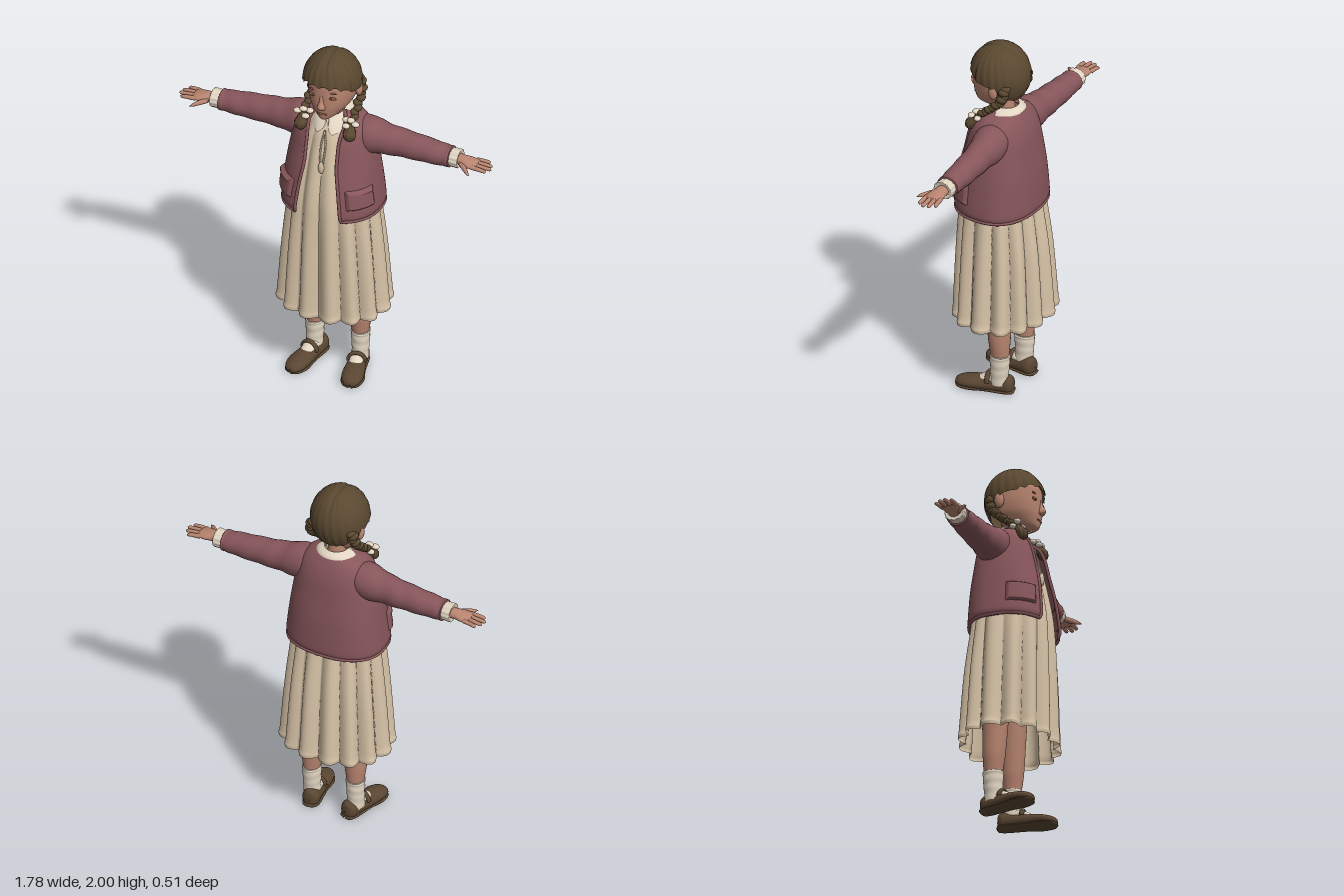
import * as THREE from 'three';
import { ParametricGeometry } from 'three/addons/geometries/ParametricGeometry.js';

const TAU = Math.PI * 2;
const mat = (name, color, side = THREE.FrontSide) => new THREE.MeshStandardMaterial({ name, color, side });

// smooth, overshoot-free interpolation through rows of numbers
function sample(rows, v) {
  const n = rows.length - 1, f = Math.min(Math.max(v, 0), 1) * n, i = Math.min(Math.floor(f), n - 1), s = f - i;
  const slope = (k, j) => rows[k + 1][j] - rows[k][j];
  const tangent = (k, j) => {
    if (k === 0) return slope(0, j);
    if (k === n) return slope(n - 1, j);
    const a = slope(k - 1, j), b = slope(k, j);
    return a * b > 0 ? 2 * a * b / (a + b) : 0;
  };
  return rows[0].map((_, j) => {
    const s2 = s * s, s3 = s2 * s;
    return (2 * s3 - 3 * s2 + 1) * rows[i][j] + (s3 - 2 * s2 + s) * tangent(i, j)
      + (3 * s2 - 2 * s3) * rows[i + 1][j] + (s3 - s2) * tangent(i + 1, j);
  });
}

const surface = (fn, nu, nv) => new ParametricGeometry((u, v, p) => p.set(...fn(u, v)), nu, nv);

// rings along an axis; rows are [x, y, z, first radius, second radius]
function loft(axis, rows, { nu = 24, nv = rows.length * 4, ripple = () => 0, floor = -1 } = {}) {
  return surface((u, v) => {
    const t = u * TAU, [x, y, z, a, b] = sample(rows, v), k = 1 + ripple(t, v);
    const s = Math.sin(t) * k, c = Math.cos(t) * k;
    if (axis === 'y') return [x + a * s, y, z + b * c];
    if (axis === 'x') return [x, y + a * c, z + b * s];
    return [x - a * s, Math.max(floor, y + b * c), z];
  }, nu, nv);
}

// soft body outline: half width, front depth, back depth
const pw = (n, p) => Math.sign(n) * Math.abs(n) ** p;
const outline = (t, a, zf, zb, p = 0.85) => {
  const c = Math.cos(t);
  return [a * pw(Math.sin(t), p), (c > 0 ? zf : -zb) * pw(c, p)];
};

function mirrored(geo) {
  const g = geo.clone().scale(-1, 1, 1), ix = g.index;
  for (let i = 0; i < ix.count; i += 3) {
    const b = ix.getX(i + 1);
    ix.setX(i + 1, ix.getX(i + 2));
    ix.setX(i + 2, b);
  }
  return g;
}

const ball = (x, y, z, a, b, c) => new THREE.SphereGeometry(1, 18, 12).scale(a, b, c).translate(x, y, z);

// cardigan surface: rows are [y, half width, front, back, half opening]
const cardiganRows = [
  [1.07, .268, .243, -.192, .13], [1.1, .275, .25, -.198, .128], [1.25, .258, .23, -.19, .11],
  [1.4, .236, .195, -.17, .09], [1.5, .215, .172, -.155, .09], [1.56, .197, .148, -.137, .095],
  [1.6, .167, .115, -.118, .1], [1.632, .11, .08, -.098, .085], [1.645, .075, .06, -.082, .07],
];
function cardiganPoint(u, v, grow = 0) {
  const [y, a, zf, zb, open] = sample(cardiganRows, v);
  const t0 = Math.asin(Math.min(1, (open / a) ** (1 / .85)));
  const [x, z] = outline(t0 + u * (TAU - 2 * t0), a + grow, zf + grow, zb - grow);
  return [x, y, z];
}

export function createModel() {
  const model = new THREE.Group();
  model.name = 'girl';
  const skin = mat('skin', 0xb98570), blush = mat('blush', 0x98604f), shoe = mat('shoe leather', 0x5a4632);
  const hair = mat('hair', 0x5a4830, THREE.DoubleSide), wool = mat('cardigan wool', 0x87565b, THREE.DoubleSide);
  const linen = mat('dress linen', 0xd6c2a6, THREE.DoubleSide), cream = mat('cream cotton', 0xe2d5c2, THREE.DoubleSide);
  const add = (name, geo, material, both = false) => {
    (both ? [geo, mirrored(geo)] : [geo]).forEach((g, i) => {
      const m = new THREE.Mesh(g, material);
      m.name = both ? (i ? 'right ' : 'left ') + name : name;
      model.add(m);
    });
  };

  // dress with scalloped pleats, open at the hem
  const dressRows = [
    [.42, .29, .236, -.236, .022], [.437, .293, .238, -.238, .022], [.455, .288, .235, -.235, .022],
    [.8, .262, .23, -.212, .018], [1.08, .235, .222, -.178, .012], [1.3, .2, .19, -.152, .008],
    [1.45, .17, .155, -.13, .005], [1.52, .15, .135, -.115, .003], [1.58, .12, .105, -.1, .001], [1.63, .068, .07, -.075, 0],
  ];
  add('dress', surface((u, v) => {
    const t = u * TAU, [y, a, zf, zb, d] = sample(dressRows, v);
    const g = d * (2 * Math.abs(Math.sin(7 * t + .3 * Math.sin(2 * t))) - 1);
    const [x, z] = outline(t, a + g, zf + g, zb - g, .92);
    return [x, y, z];
  }, 196, 54), linen);
  // neck tie
  for (const s of [-1, 1]) add('neck tie cord', new THREE.TubeGeometry(new THREE.CatmullRomCurve3([
    new THREE.Vector3(0, 1.56, .13), new THREE.Vector3(s * .012, 1.48, .152), new THREE.Vector3(s * .009, 1.38, .178),
  ]), 12, .005, 6), linen);
  add('neck tie tassel', ball(0, 1.355, .182, .016, .037, .012), linen);

  // cardigan shell, ribbed edge and pockets
  add('cardigan', surface((u, v) => cardiganPoint(u, v), 80, 36), wool);
  const rim = [];
  for (let i = 24; i > 0; i--) rim.push(cardiganPoint(0, i / 24));
  for (let i = 0; i < 48; i++) rim.push(cardiganPoint(i / 48, 0));
  for (let i = 0; i <= 24; i++) rim.push(cardiganPoint(1, i / 24));
  add('cardigan edge', new THREE.TubeGeometry(
    new THREE.CatmullRomCurve3(rim.map(p => new THREE.Vector3(...p))), 200, .009, 8), wool);
  add('pocket', surface((u, v) => {
    const edge = Math.min(1, 9 * Math.min(u, 1 - u, v, 1 - v));
    const lip = v > .78 ? .006 : 0;
    return cardiganPoint(.025 + u * .14, .17 + v * .085, -.003 + edge * (.019 + lip));
  }, 24, 20), wool, true);

  // sleeves with soft folds
  add('sleeve', loft('x', [
    [.12, 1.52, -.012, .08, .09], [.2, 1.503, -.016, .1, .096], [.3, 1.493, -.02, .084, .079],
    [.42, 1.487, -.025, .074, .072], [.55, 1.481, -.025, .065, .067], [.635, 1.478, -.025, .057, .062],
    [.655, 1.478, -.025, .058, .062], [.658, 1.478, -.025, .045, .05],
  ], { nv: 60, ripple: (t, v) => .022 * Math.sin(v * 42 + 2 * Math.sin(t)) * Math.sin(v * Math.PI) }), wool, true);
  add('cuff', loft('x', [
    [.645, 1.478, -.025, .046, .052], [.67, 1.478, -.025, .049, .054], [.7, 1.478, -.025, .05, .055],
    [.706, 1.478, -.025, .046, .05], [.702, 1.478, -.025, .028, .034],
  ], { nu: 48, ripple: t => .03 * Math.cos(12 * t) }), cream, true);

  // hands
  add('palm', loft('x', [
    [.66, 1.478, -.025, .027, .034], [.72, 1.477, -.022, .026, .036], [.765, 1.474, -.018, .022, .047],
    [.8, 1.472, -.018, .015, .047], [.815, 1.471, -.018, .004, .03],
  ]), skin, true);
  [[-.058, .862], [-.032, .884], [-.006, .89], [.02, .872]].forEach(([z, tip], i) => add('finger ' + (i + 1), loft('x', [
    [.785, 1.473, z, .012, .013], [.83, 1.472, z * 1.08, .011, .012], [tip - .01, 1.469, z * 1.15, .009, .01],
    [tip, 1.468, z * 1.15, .001, .001],
  ], { nu: 12 }), skin, true));
  add('thumb', loft('x', [
    [.715, 1.472, .005, .013, .015], [.745, 1.468, .028, .014, .018], [.775, 1.463, .056, .011, .015], [.797, 1.459, .078, .001, .002],
  ], { nu: 12 }), skin, true);

  // neck and head
  add('neck', loft('y', [[0, 1.57, -.005, .06, .06], [0, 1.64, .005, .053, .055], [0, 1.74, .02, .06, .06]]), skin);
  const headRows = [
    [1.64, .004, .13, -.0], [1.645, .035, .152, -.005], [1.66, .064, .165, -.015], [1.695, .094, .172, -.035], [1.74, .117, .177, -.06],
    [1.8, .128, .178, -.085], [1.86, .13, .176, -.1], [1.92, .11, .14, -.09], [1.97, .05, .06, -.05],
  ];
  add('head', surface((u, v) => {
    const [y, a, zf, zb] = sample(headRows, v), [x, z] = outline(u * TAU, a, zf, zb, .93);
    return [x, y, z];
  }, 48, 36), skin);
  add('nose', loft('y', [
    [0, 1.722, .168, .004, .004], [0, 1.73, .177, .022, .018], [0, 1.745, .181, .021, .023],
    [0, 1.775, .176, .012, .014], [0, 1.825, .168, .008, .008],
  ]), skin);
  add('ear', ball(.138, 1.785, -.002, .02, .043, .026), skin, true);
  add('eye', ball(.05, 1.8, .164, .024, .01, .007).rotateY(.03), blush, true);
  add('pupil', ball(.05, 1.8, .168, .008, .008, .005), hair, true);
  add('brow', ball(.052, 1.832, .162, .028, .004, .007), blush, true);
  add('mouth', ball(0, 1.693, .169, .03, .006, .007), blush);

  // hair cap: hairline height follows the angle from brow to nape
  const hairline = [[.17], [.15], [.0], [-.08], [-.42], [-.68], [-.74]];
  add('hair', surface((u, v) => {
    const t = u * TAU, off = Math.min(t, TAU - t) / Math.PI;
    const low = sample(hairline, off)[0] + (off < .35 ? .09 * Math.abs(Math.sin(8 * t + .6)) : 0);
    const e = low + (1.568 - low) * v, c = Math.cos(e);
    const x = Math.sin(t) * c;
    const k = 1 - .035 * Math.exp(-((x / .1) ** 2)) * Math.max(0, Math.sin(e))
      + .012 * Math.sin(22 * t + 6 * v) * (1 - v);
    return [.157 * k * x, 1.83 + .175 * k * Math.sin(e), .03 + .163 * k * Math.cos(t) * c];
  }, 120, 36), hair);

  // plaits, ribbons and loose ends
  const plait = new THREE.CatmullRomCurve3([[.115, 1.81, -.06], [.132, 1.745, -.05], [.136, 1.68, .015], [.135, 1.625, .085]]
    .map(p => new THREE.Vector3(...p)));
  for (let i = 0; i <= 10; i++) {
    const p = plait.getPoint(i / 10), r = .032 - .009 * i / 10;
    add('plait strand ' + (i + 1), ball(0, 0, 0, r, r * .75, r).rotateZ(i % 2 ? .5 : -.5)
      .translate(p.x + (i % 2 ? .004 : -.004), p.y, p.z), hair, true);
  }
  add('plait end', loft('y', [
    [.14, 1.533, .132, .004, .004], [.14, 1.545, .132, .024, .02], [.139, 1.575, .128, .035, .03], [.137, 1.6, .115, .026, .024], [.135, 1.63, .095, .014, .014],
  ], { nu: 32, ripple: t => .07 * Math.cos(8 * t) }), hair, true);
  for (let i = 0; i < 5; i++) {
    const a = i / 5 * TAU + .3;
    add('ribbon loop ' + (i + 1), ball(.135 + .032 * Math.cos(a), 1.627 + .016 * Math.sin(a), .1 + .02 * Math.sin(a * 2), .022, .014, .018), cream, true);
  }

  // rounded collar, split at the front
  add('collar', surface((u, v) => {
    const gap = .07, t = gap + u * (TAU - 2 * gap), near = Math.min(u, 1 - u) * TAU;
    const w = (1 - v) * (.35 + .65 * Math.min(1, Math.sqrt(near / .35)));
    const f = Math.max(0, Math.cos(t)) ** .8, bulge = .008 * Math.sin(v * Math.PI);
    const rx = .066 + .045 * w + bulge, rz = .072 + (.035 + .045 * f) * w + bulge;
    return [rx * Math.sin(t), 1.66 - .035 * f - (.028 + .06 * f) * w, rz * Math.cos(t)];
  }, 72, 10), cream);

  // legs and socks
  add('leg', loft('y', [
    [.13, .1, -.04, .038, .043], [.13, .2, -.04, .044, .049], [.128, .32, -.036, .06, .06],
    [.125, .42, -.033, .064, .065], [.12, .62, -.03, .075, .075],
  ]), skin, true);
  add('sock', loft('y', [
    [.13, .05, -.035, .044, .052], [.13, .11, -.038, .046, .05], [.13, .16, -.04, .048, .053], [.13, .205, -.04, .05, .056],
    [.13, .22, -.04, .051, .057], [.13, .224, -.04, .04, .046],
  ], { nv: 40, ripple: (t, v) => .018 * Math.sin(v * 30 + Math.sin(t)) }), cream, true);

  // strapped shoes, toes turned out
  const foot = g => g.rotateY(.2).translate(.13, 0, 0);
  add('shoe', foot(loft('z', [
    [0, .045, -.116, .003, .003], [0, .045, -.11, .028, .04], [0, .045, -.08, .047, .055], [0, .04, -.02, .047, .046],
    [0, .037, .05, .053, .042], [0, .034, .12, .059, .036], [0, .028, .18, .045, .027], [0, .025, .203, .02, .014], [0, .025, .206, .002, .002],
  ], { floor: .01 })), shoe, true);
  add('shoe sole', foot(loft('z', [
    [0, .01, -.119, .004, .004], [0, .01, -.11, .036, .012], [0, .01, -.06, .05, .012], [0, .01, .03, .05, .012],
    [0, .01, .12, .063, .012], [0, .01, .185, .045, .012], [0, .01, .209, .006, .004],
  ], { floor: 0 })), shoe, true);
  add('sock instep', foot(loft('z', [
    [0, .07, -.06, .03, .03], [0, .075, 0, .038, .034], [0, .062, .05, .036, .028], [0, .045, .095, .016, .015],
  ])), cream, true);
  add('shoe strap', foot(new THREE.TorusGeometry(.047, .009, 8, 20, Math.PI).scale(1, 1, 1.5).translate(0, .058, .022)), shoe, true);

  return model;
}
